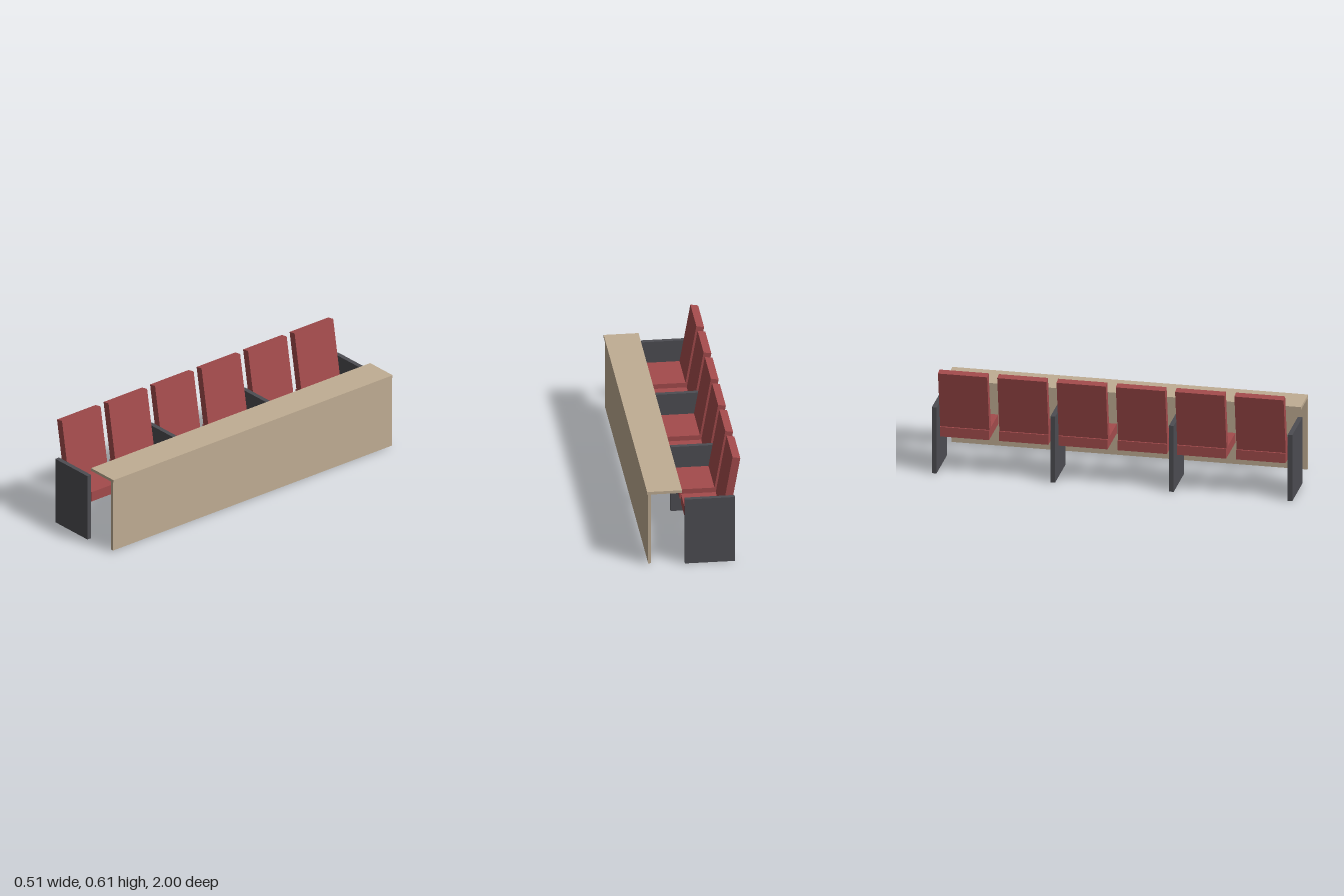
import * as THREE from 'three';

const upholstery = new THREE.MeshStandardMaterial({ name: 'red upholstery', color: 0xa34b4c });
const wood = new THREE.MeshStandardMaterial({ name: 'pale wood', color: 0xc0ad93 });
const panelGrey = new THREE.MeshStandardMaterial({ name: 'dark grey panel', color: 0x4d4d52 });

// Box given by its extents in x and y, its depth and centre in z
function slab(name, material, [x0, x1], [y0, y1], depth, z = 0) {
  const mesh = new THREE.Mesh(new THREE.BoxGeometry(x1 - x0, y1 - y0, depth), material);
  mesh.name = name;
  mesh.position.set((x0 + x1) / 2, (y0 + y1) / 2, z);
  return mesh;
}

export function createModel() {
  const model = new THREE.Group();
  model.name = 'benchRowWithDesk';
  const pitch = 0.329;

  // Long desk: worktop and modesty panel
  const desk = new THREE.Group();
  desk.name = 'desk';
  desk.add(
    slab('deskTop', wood, [0.065, 0.256], [0.42, 0.436], 1.974),
    slab('deskFront', wood, [0.235, 0.25], [0.006, 0.42], 1.974)
  );
  model.add(desk);

  // Upright supports, one after every two seats
  for (let i = 0; i < 4; i++) {
    model.add(slab('supportPanel', panelGrey, [-0.223, 0.05], [0, 0.385], 0.026, (i - 1.5) * 2 * pitch));
  }

  // Six seats with reclined backrests
  for (let i = 0; i < 6; i++) {
    const chair = new THREE.Group();
    chair.name = 'chair';
    chair.position.z = (i - 2.5) * pitch;
    const back = slab('backrest', upholstery, [-0.0215, 0.0215], [-0.18, 0.18], 0.273);
    back.position.set(-0.2047, 0.4243, 0);
    back.rotation.z = THREE.MathUtils.degToRad(10);
    chair.add(slab('seat', upholstery, [-0.208, 0.035], [0.212, 0.268], 0.273), back);
    model.add(chair);
  }
  return model;
}
